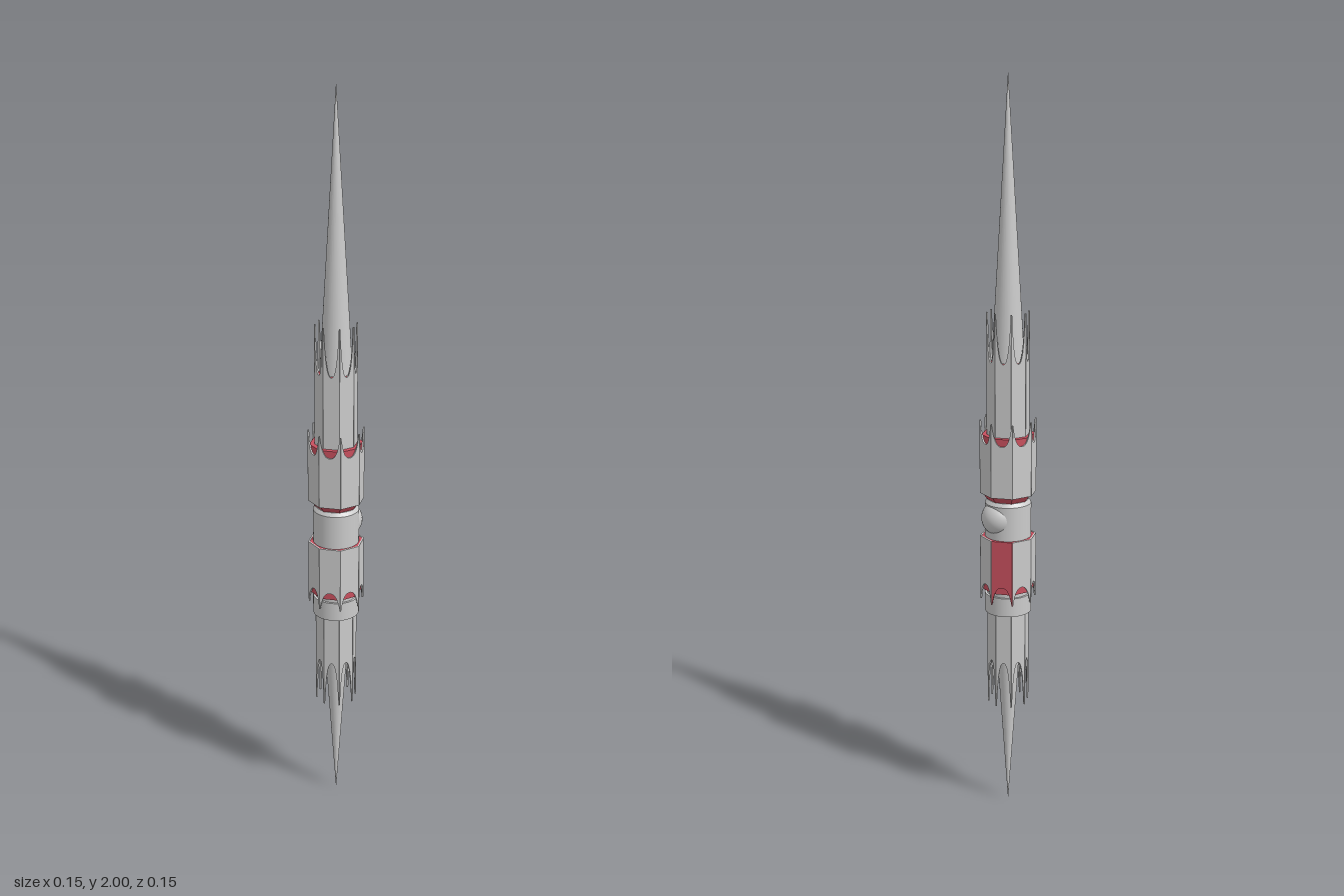
import * as THREE from 'three';

const grey = new THREE.MeshStandardMaterial({ color: 0xcccccc });
const greyFlat = new THREE.MeshStandardMaterial({ color: 0xcccccc, flatShading: true });
const red = new THREE.MeshStandardMaterial({ color: 0xc8505e, flatShading: true });

function add(parent, name, geometry, material) {
  const mesh = new THREE.Mesh(geometry, material);
  mesh.name = name;
  parent.add(mesh);
  return mesh;
}

// Solid of revolution between two heights
function drum(rTop, rBottom, yBottom, yTop, sides) {
  return new THREE.CylinderGeometry(rTop, rBottom, yTop - yBottom, sides)
    .translate(0, (yTop + yBottom) / 2, 0);
}

// Eight flat panels, each with a U notch that leaves spikes at the corners.
// base: plain edge, notch: notch floor, tip: spike ends (above or below base).
function sleeve(name, radius, base, notch, tip, redPanel = -1) {
  const group = new THREE.Group();
  group.name = name;
  const thick = 0.004;
  const w = radius * Math.sin(Math.PI / 8) - 0.0006;
  const apothem = radius * Math.cos(Math.PI / 8);
  const e = w - 0.0015;
  const shape = new THREE.Shape();
  shape.moveTo(-w, base);
  shape.lineTo(w, base);
  shape.lineTo(w, tip);
  shape.lineTo(e, tip);
  shape.bezierCurveTo(w * 0.75, notch + (tip - notch) * 0.3, w * 0.5, notch, 0, notch);
  shape.bezierCurveTo(-w * 0.5, notch, -w * 0.75, notch + (tip - notch) * 0.3, -e, tip);
  shape.lineTo(-w, tip);
  const geometry = new THREE.ExtrudeGeometry(shape, { depth: thick, bevelEnabled: false, curveSegments: 10 });
  geometry.translate(0, 0, apothem - thick);
  for (let k = 0; k < 8; k++) {
    const panel = add(group, 'panel', geometry, k === redPanel ? red : greyFlat);
    panel.rotation.y = Math.PI / 8 + k * Math.PI / 4;
  }
  return group;
}

export function createModel() {
  const model = new THREE.Group();
  model.name = 'spire';

  // Long needle points
  add(model, 'upperNeedle', drum(0, 0.043, 1.27, 2, 32), grey);
  add(model, 'lowerNeedle', drum(0.03, 0, 0, 0.44, 32), grey);

  // Notched octagonal sleeves
  model.add(
    sleeve('upperInnerSleeve', 0.057, 1.07, 1.27, 1.4),
    sleeve('upperOuterSleeve', 0.076, 0.915, 1.055, 1.115),
    sleeve('lowerOuterSleeve', 0.076, 0.795, 0.665, 0.615, 3),
    sleeve('lowerInnerSleeve', 0.057, 0.58, 0.44, 0.31)
  );

  // Cores inside the sleeves, red where they show as decks
  add(model, 'upperInnerCore', drum(0.0525, 0.0525, 1.07, 1.265, 8), red);
  add(model, 'upperOuterCore', drum(0.0715, 0.0715, 0.916, 1.075, 8), red);
  add(model, 'lowerOuterCore', drum(0.0715, 0.0715, 0.645, 0.794, 8), red);
  add(model, 'lowerInnerCore', drum(0.0525, 0.0525, 0.44, 0.58, 8), greyFlat);

  // Waist between the outer sleeves
  add(model, 'waistCollar', drum(0.07, 0.055, 0.895, 0.916, 8), red);
  add(model, 'waist', drum(0.062, 0.062, 0.79, 0.887, 32), grey);
  add(model, 'waistBevel', drum(0.055, 0.062, 0.887, 0.897, 32), grey);

  // Ring joining the lower sleeves
  add(model, 'lowerRing', drum(0.063, 0.063, 0.58, 0.632, 32), grey);
  add(model, 'lowerRingNeck', drum(0.057, 0.057, 0.63, 0.65, 32), grey);

  // Ball set into the side of the waist
  add(model, 'ball', new THREE.SphereGeometry(0.048, 32, 20), grey).position.set(0.026, 0.848, -0.015);

  return model;
}
